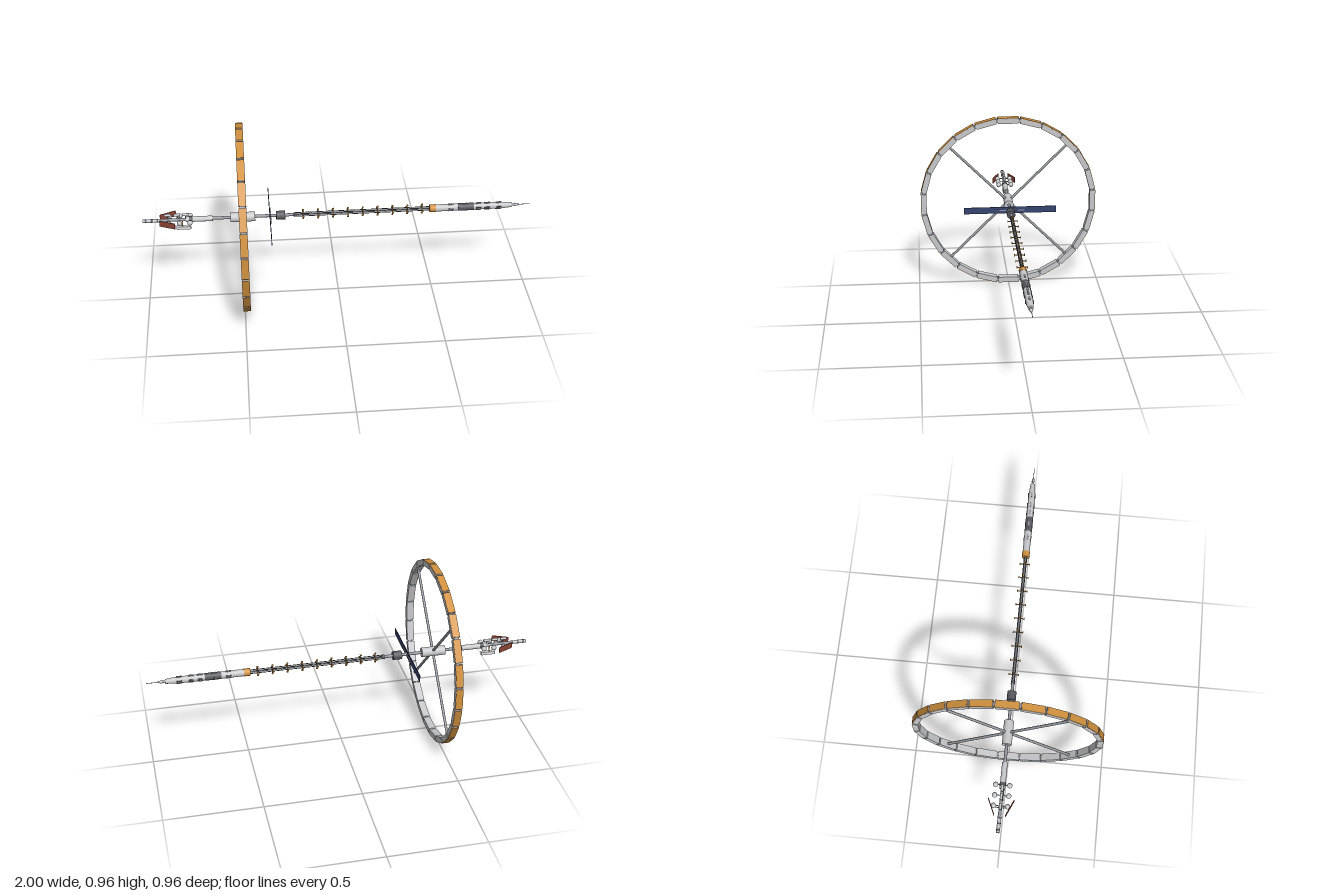
import * as THREE from 'three';

export function createModel() {
  const model = new THREE.Group();
  const paint = (name, color) => {
    const m = new THREE.MeshStandardMaterial({ color });
    m.name = name;
    return m;
  };
  const light = paint('light grey', 0xc8c9cc);
  const mid = paint('mid grey', 0x94989e);
  const dark = paint('dark grey', 0x58595f);
  const orange = paint('orange', 0xd2923f);
  const navy = paint('navy', 0x35446f);
  const rust = paint('rust', 0x8c4434);
  const white = paint('white', 0xe4e4e4);

  const station = new THREE.Group(); // origin on the long axis
  station.name = 'station';
  station.position.y = 0.481;
  model.add(station);

  const add = (name, geometry, material, x = 0, y = 0, z = 0, parent = station) => {
    const mesh = new THREE.Mesh(geometry, material);
    mesh.name = name;
    mesh.position.set(x, y, z);
    parent.add(mesh);
    return mesh;
  };
  const box = (name, mat, w, h, d, x, y, z, parent) =>
    add(name, new THREE.BoxGeometry(w, h, d), mat, x, y, z, parent);
  // Cylinder along x from x0 to x1, with a radius at each end
  const tube = (name, mat, x0, x1, r0, r1 = r0, y = 0, z = 0) =>
    add(name, new THREE.CylinderGeometry(r0, r1, x1 - x0, 16).rotateZ(Math.PI / 2), mat, (x0 + x1) / 2, y, z);

  // Habitat ring: 24 tapered modules with orange outer skins
  const ring = new THREE.Group();
  ring.name = 'habitatRing';
  ring.position.x = -0.49;
  station.add(ring);
  const outline = new THREE.Shape([
    new THREE.Vector2(-0.0545, 0.449), new THREE.Vector2(0.0545, 0.449),
    new THREE.Vector2(0.0585, 0.4775), new THREE.Vector2(-0.0585, 0.4775),
  ]);
  const moduleGeo = new THREE.ExtrudeGeometry(outline, { depth: 0.038, bevelEnabled: false })
    .translate(0, 0, -0.019).rotateY(Math.PI / 2);
  for (let i = 0; i < 24; i++) {
    const segment = new THREE.Group();
    segment.name = 'ringSegment';
    segment.rotation.x = i * Math.PI / 12;
    ring.add(segment);
    add('ringModule', moduleGeo, light, 0, 0, 0, segment);
    box('ringSkin', orange, 0.036, 0.003, 0.114, 0, 0.4785, 0, segment);
    const joint = new THREE.Group();
    joint.rotation.x = Math.PI / 24;
    joint.name = 'ringJoint';
    segment.add(joint);
    box('jointTunnel', mid, 0.028, 0.016, 0.018, 0, 0.466, 0, joint);
  }

  // Spokes and hub
  for (let i = 0; i < 4; i++) {
    const spoke = new THREE.Group();
    spoke.name = 'spoke';
    spoke.rotation.x = Math.PI / 4 + i * Math.PI / 2;
    ring.add(spoke);
    add('spokeTube', new THREE.CylinderGeometry(0.007, 0.007, 0.43, 12), mid, 0, 0.235, 0, spoke);
  }
  tube('hub', light, -0.554, -0.428, 0.025);

  // Spine and collars
  tube('spine', mid, -0.92, -0.22, 0.008);
  tube('rearModule', light, -0.78, -0.645, 0.014);
  tube('rearCollar', dark, -0.765, -0.748, 0.0155);
  tube('reactorNode', dark, -0.32, -0.274, 0.023);
  tube('trussCollar', dark, -0.23, -0.215, 0.011);

  // Solar wing
  box('solarWing', navy, 0.003, 0.036, 0.5, -0.352, 0, 0);
  box('wingSpar', mid, 0.004, 0.004, 0.154, -0.348, 0, 0);

  // Truss: four rails round a core, with crossed outriggers
  tube('trussCore', mid, -0.23, 0.48, 0.005);
  for (const y of [-1, 1]) for (const z of [-1, 1]) {
    tube('trussRail', dark, -0.23, 0.48, 0.002, 0.002, y * 0.0068, z * 0.0068);
  }
  for (let i = 0; i < 9; i++) {
    const x = -0.181 + i * 0.077;
    box('outriggerVertical', orange, 0.004, 0.05, 0.004, x, 0, 0);
    box('outriggerHorizontal', orange, 0.004, 0.004, 0.05, x, 0, 0);
    box('trussFrame', dark, 0.005, 0.017, 0.017, x, 0, 0);
    for (const s of [-1, 1]) {
      box('outriggerPad', orange, 0.009, 0.004, 0.009, x, s * 0.025, 0);
      box('outriggerPad', orange, 0.009, 0.009, 0.004, x, 0, s * 0.025);
    }
  }

  // Forward ship
  tube('shipCollar', orange, 0.474, 0.506, 0.02);
  tube('shipTail', light, 0.506, 0.622, 0.0185);
  tube('shipBand', dark, 0.622, 0.705, 0.0195);
  tube('shipBody', light, 0.705, 0.85, 0.0175);
  tube('shipNose', light, 0.85, 0.905, 0.0175, 0.012);
  tube('noseStem', mid, 0.905, 0.925, 0.006);
  tube('noseCone', light, 0.92, 0.946, 0.009, 0.003);
  tube('noseAntenna', mid, 0.94, 1, 0.0015);
  for (const x of [0.585, 0.66, 0.73, 0.775, 0.835]) {
    for (const s of [-1, 1]) {
      box('hullFairing', mid, 0.028, 0.005, 0.008, x, s * 0.0185, 0);
      box('hullFairing', dark, 0.028, 0.008, 0.005, x, 0, s * 0.0175);
    }
  }

  // Tail boom
  tube('tailBoom', light, -1, -0.915, 0.009);
  for (const x of [-0.985, -0.955, -0.925]) tube('tailBand', dark, x - 0.004, x + 0.004, 0.0098);

  // Storage tanks, top canisters and tilted radiators
  const tankGeo = new THREE.SphereGeometry(0.0135, 16, 12);
  for (const x of [-0.866, -0.813, -0.76]) {
    box('tankStrut', mid, 0.004, 0.004, 0.07, x, 0, 0);
    for (const s of [-1, 1]) add('tank', tankGeo, light, x, 0, s * 0.035);
  }
  for (const x of [-0.874, -0.826, -0.782]) {
    tube('canister', light, x - 0.016, x + 0.016, 0.007, 0.007, 0.029);
    box('canisterStrut', mid, 0.004, 0.02, 0.004, x, 0.016, 0);
  }
  for (const s of [-1, 1]) {
    const radiator = box('radiator', rust, 0.088, 0.033, 0.003, -0.874, 0, s * 0.046);
    radiator.rotation.y = -s * 0.42;
    box('radiatorStrut', mid, 0.004, 0.004, 0.045, -0.874, 0, s * 0.023);
  }

  // Slung lander bay
  box('landerBay', white, 0.074, 0.016, 0.018, -0.794, -0.047, 0);
  box('bayStrut', orange, 0.005, 0.036, 0.005, -0.8, -0.022, 0);

  return model;
}
